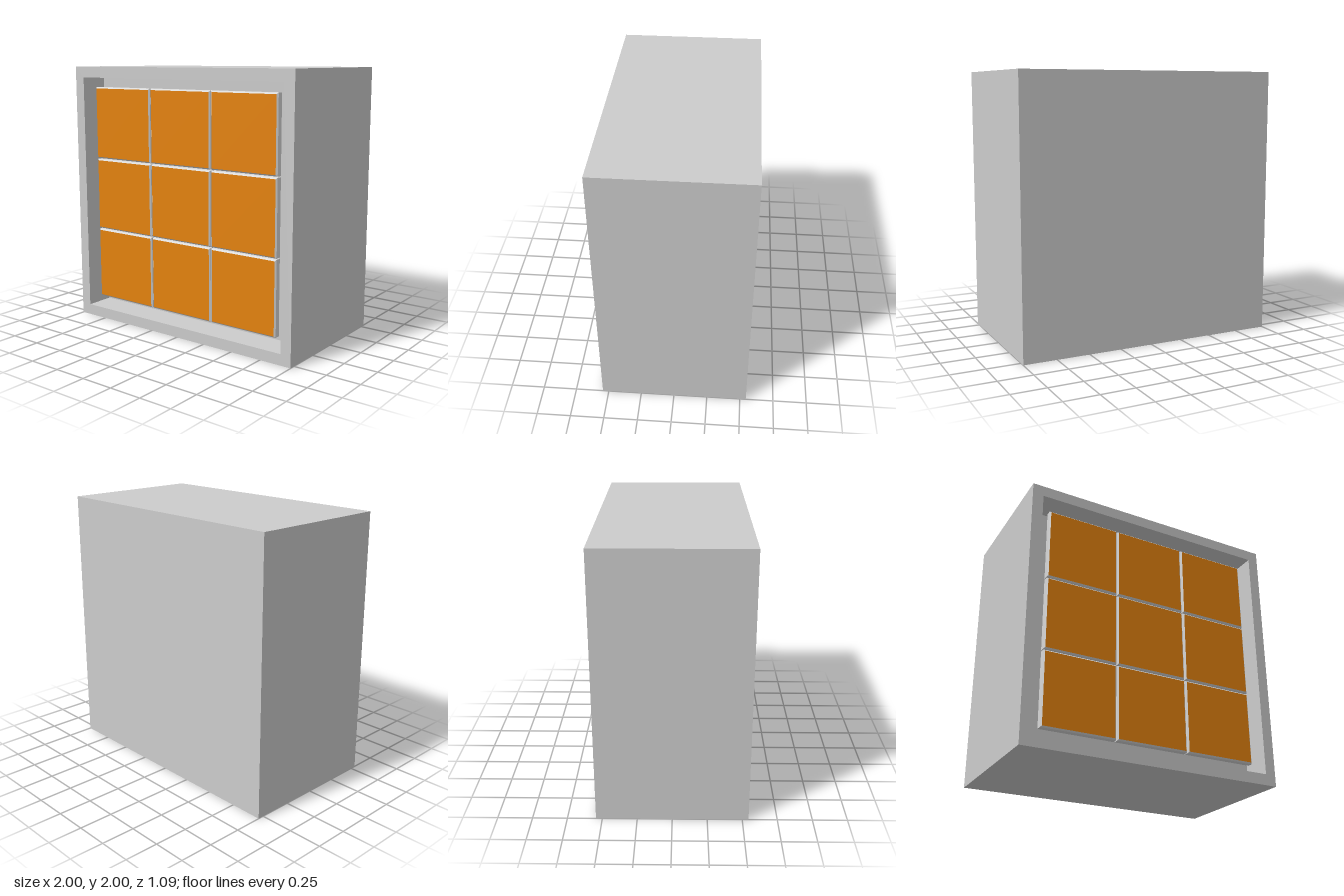
import * as THREE from 'three';

const W = 2, D = 1.09, RECESS = 0.22;      // housing width/height, depth, recess depth
const OPEN = 0.917;                        // half size of the front opening
const PITCH = 0.5625, TILE = 0.535, BEVEL = 0.01;

function square(half, Type = THREE.Shape) {
  const s = new Type();
  s.moveTo(-half, -half);
  s.lineTo(half, -half);
  s.lineTo(half, half);
  s.lineTo(-half, half);
  s.closePath();
  return s;
}

export function createModel() {
  const model = new THREE.Group();
  const grey = new THREE.MeshStandardMaterial({ name: 'housing grey', color: 0xcccccc });
  const rimGrey = new THREE.MeshStandardMaterial({ name: 'tile rim grey', color: 0xd8d8d8 });
  const orange = new THREE.MeshStandardMaterial({ name: 'orange', color: 0xe5830e });

  // Solid rear part of the housing, whose front is the floor of the recess
  const body = new THREE.Mesh(new THREE.BoxGeometry(W, W, D - RECESS), grey);
  body.name = 'housingBody';
  body.position.set(0, 1, -RECESS / 2);
  model.add(body);

  // Square rim around the recess
  const rim = square(W / 2);
  rim.holes.push(square(OPEN, THREE.Path));
  const frame = new THREE.Mesh(
    new THREE.ExtrudeGeometry(rim, { depth: RECESS, bevelEnabled: false }), grey);
  frame.name = 'frontFrame';
  frame.position.set(0, 1, D / 2 - RECESS);
  model.add(frame);

  // Three by three bevelled tiles: orange faces, grey edges
  const tileGeometry = new THREE.ExtrudeGeometry(square(TILE / 2), {
    depth: 0.04, bevelSize: BEVEL, bevelThickness: BEVEL, bevelSegments: 1,
  });
  const tiles = new THREE.Group();
  tiles.name = 'tiles';
  for (let row = -1; row <= 1; row++) {
    for (let col = -1; col <= 1; col++) {
      const tile = new THREE.Mesh(tileGeometry, [orange, rimGrey]);
      tile.name = 'tile';
      tile.position.set(col * PITCH, 1.003 + row * PITCH, D / 2 - 0.1);
      tiles.add(tile);
    }
  }
  model.add(tiles);
  return model;
}
